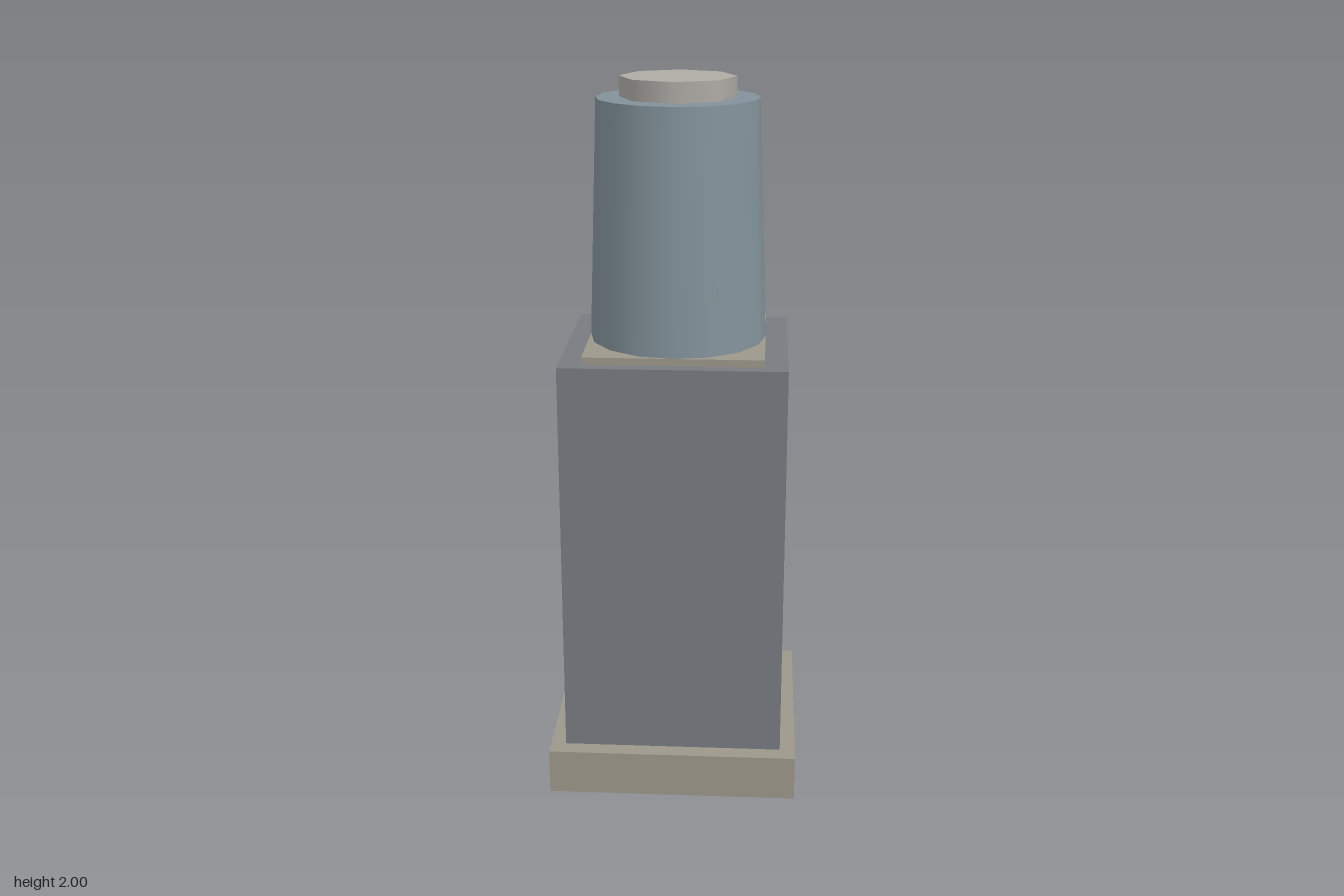
import * as THREE from 'three';

const STONE = 0x9c978a, BODY = 0x777b80, STEEL = 0x82929a, CAP = 0xaeaba5, DARK = 0x5c6164, RED = 0x92776f;
const AXIS_Z = 0.053; // the tower's vertical axis

export function createModel() {
  const model = new THREE.Group();
  model.name = 'controlTower';

  const add = (name, geometry, color, x, y, z) => {
    const mesh = new THREE.Mesh(geometry, new THREE.MeshStandardMaterial({ color }));
    mesh.name = name;
    mesh.position.set(x, y, z);
    model.add(mesh);
  };
  // Box given by its centre in x, and its ranges in y and z
  const box = (name, color, x, width, [y0, y1], [z0, z1]) =>
    add(name, new THREE.BoxGeometry(width, y1 - y0, z1 - z0), color, x, (y0 + y1) / 2, (z0 + z1) / 2);
  // Upright round part on the tower's axis
  const drum = (name, color, rTop, rBottom, y0, y1, sides) =>
    add(name, new THREE.CylinderGeometry(rTop, rBottom, y1 - y0, sides), color, 0, (y0 + y1) / 2, AXIS_Z);

  // Stacked square tower
  box('base', STONE, 0, 0.704, [0, 0.13], [-0.28, 0.384]);
  box('body', BODY, 0, 0.618, [0.13, 1.265], [-0.231, 0.336]);
  box('topPlate', STONE, 0, 0.492, [1.265, 1.285], [-0.195, 0.299]);

  // Tapered column and its octagonal cap
  drum('column', STEEL, 0.223, 0.246, 1.285, 1.945, 16);
  drum('cap', CAP, 0.159, 0.159, 1.945, 2, 8);

  // Control panel on the back
  box('panel', DARK, 0, 0.407, [0.58, 1.05], [-0.264, -0.231]);
  box('shelf', DARK, 0, 0.446, [0.493, 0.54], [-0.386, -0.231]);
  for (const [name, color, side] of [['leftButton', RED, 1], ['rightButton', STEEL, -1]])
    box(name, color, side * 0.129, 0.067, [0.935, 1.016], [-0.339, -0.264]);

  return model;
}
